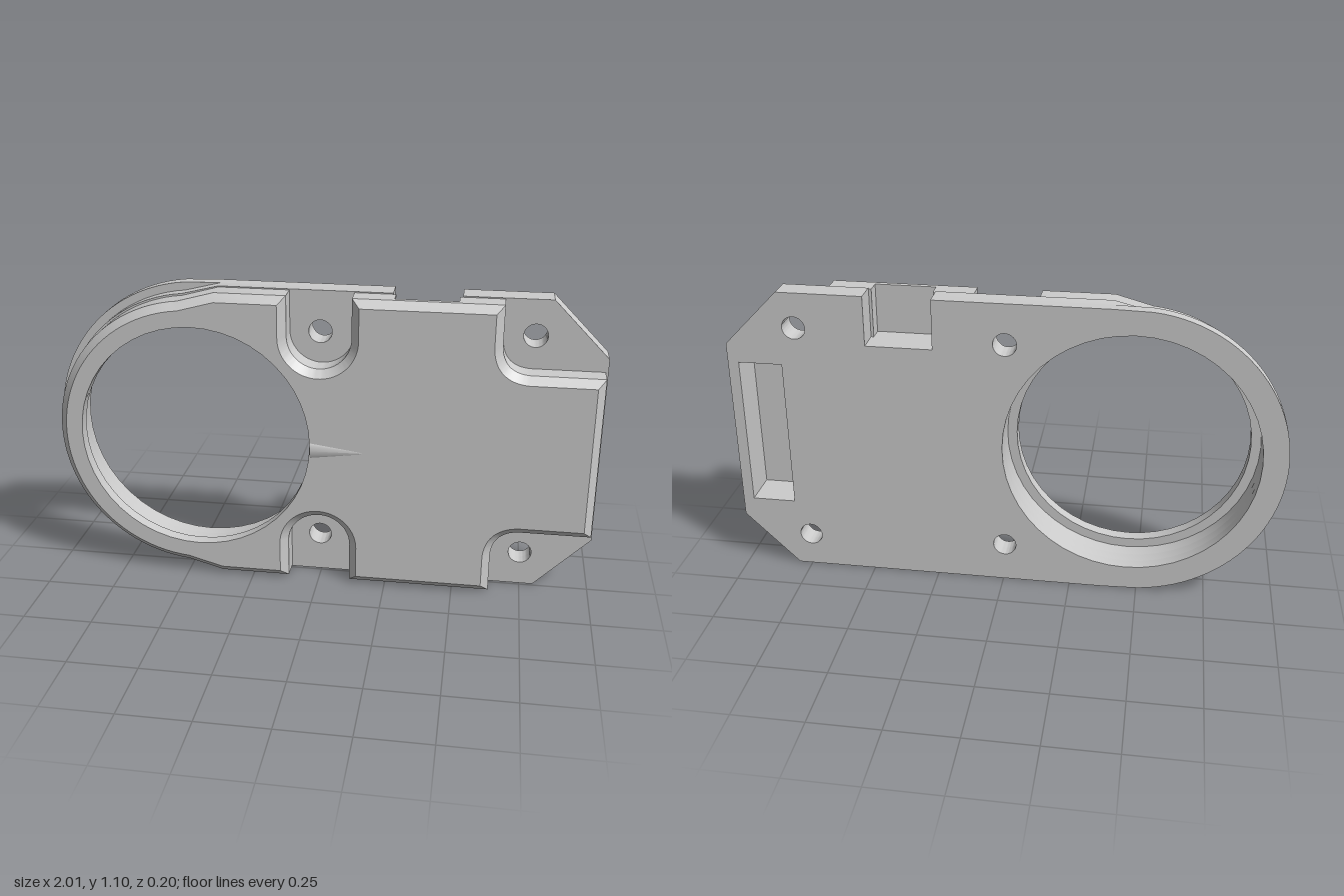
import * as THREE from 'three';
import { toCreasedNormals } from 'three/addons/utils/BufferGeometryUtils.js';

const RING = { x: -0.455, y: 0.552 };   // centre of the big opening
const TOP = 1.103;

const circle = (x, y, r) => new THREE.Path().absarc(x, y, r, 0, Math.PI * 2, true);

function slotHole() {
  return new THREE.Path([[0.8, 0.27], [0.8, 0.83], [0.96, 0.83], [0.96, 0.27]]
    .map(p => new THREE.Vector2(...p)));
}

// Rectangular cut in the top edge
function cutNotch(s, top, halfWidth) {
  const l = 0.37 - halfWidth, r = 0.37 + halfWidth;
  s.lineTo(r, top); s.lineTo(r, 0.92);
  s.lineTo(l, 0.92); s.lineTo(l, top);
}

// Full plate: rounded left end, chamfered right corners
function plateOutline(r) {
  const s = new THREE.Shape();
  s.moveTo(-0.37, 0);
  s.lineTo(0.8, 0); s.lineTo(1, 0.2); s.lineTo(1, 0.9); s.lineTo(0.8, TOP);
  cutNotch(s, TOP, 0.12);
  s.lineTo(-0.37, TOP);
  s.absarc(RING.x, RING.y, r, Math.PI * 0.53, Math.PI * 1.47, false);
  s.holes.push(circle(RING.x, RING.y, 0.46), slotHole());
  for (const x of [-0.005, 0.745])
    for (const y of x < 0 ? [0.15, 0.953] : [0.13, 0.973]) s.holes.push(circle(x, y, 0.042));
  return s;
}

// Raised front: pockets left free around the four screw holes
function raisedOutline(notch, holeRadius) {
  const s = new THREE.Shape(), w = 0.115, e = 0.004, t = TOP - e;
  s.moveTo(-0.37, e);
  s.lineTo(-w, e);
  s.absarc(0, 0.15, w, Math.PI, 0, true);
  s.lineTo(w, e); s.lineTo(0.635, e); s.lineTo(0.635, 0.15);
  s.quadraticCurveTo(0.64, 0.245, 0.735, 0.25);
  s.lineTo(0.99, 0.25); s.lineTo(0.99, TOP - 0.25); s.lineTo(0.735, TOP - 0.25);
  s.quadraticCurveTo(0.64, TOP - 0.245, 0.635, TOP - 0.15);
  s.lineTo(0.635, t);
  if (notch) cutNotch(s, t, 0.11);
  s.lineTo(w, t);
  s.absarc(0, TOP - 0.15, w, 0, Math.PI, true);
  s.lineTo(-w, t); s.lineTo(-0.37, t);
  s.absarc(RING.x, RING.y, 0.513, Math.PI * 0.53, Math.PI * 1.47, false);
  s.holes.push(circle(RING.x, RING.y, holeRadius));
  return s;
}

function layer(shape, z0, z1) {
  const g = new THREE.ExtrudeGeometry(shape, { depth: z1 - z0, bevelEnabled: false, curveSegments: 24 });
  g.translate(0, 0, z0);
  return toCreasedNormals(g, 0.5);
}

// Cap with a chamfer on its front outer edge only
function cap(shape, z0, z1, bevel, holeRadius) {
  const g = new THREE.ExtrudeGeometry(shape, {
    depth: z1 - z0 - bevel, bevelThickness: bevel, bevelSize: bevel,
    bevelOffset: -bevel, bevelSegments: 1, curveSegments: 24,
  });
  const p = g.attributes.position;
  for (let i = 0; i < p.count; i++) {
    const dx = p.getX(i) - RING.x, dy = p.getY(i) - RING.y, d = Math.hypot(dx, dy);
    // keep the opening straight and the back face flat
    if (d < holeRadius + bevel + 0.003)
      p.setXY(i, RING.x + dx / d * holeRadius, RING.y + dy / d * holeRadius);
    p.setZ(i, Math.max(p.getZ(i), 0));
  }
  g.translate(0, 0, z0);
  return toCreasedNormals(g, 0.5);
}

export function createModel() {
  const group = new THREE.Group();
  const grey = new THREE.MeshStandardMaterial({ color: 0xcccccc });
  grey.name = 'light grey';
  const add = (name, geometry) => {
    const m = new THREE.Mesh(geometry, grey);
    m.name = name;
    group.add(m);
  };

  add('backPlate', layer(plateOutline(0.55), -0.1, -0.055));
  add('middlePlate', layer(plateOutline(0.52), -0.055, -0.01));
  const walls = raisedOutline(true, 0.46);
  walls.holes.push(slotHole());
  add('raisedWalls', layer(walls, -0.01, 0.045));
  add('frontCover', cap(raisedOutline(false, 0.425), 0.045, 0.092, 0.028, 0.425));

  // Shallow ridge fading away from the opening
  const ridge = new THREE.ConeGeometry(0.03, 0.22, 8);
  ridge.rotateZ(-Math.PI / 2).scale(1, 1, 0.25).translate(0.082, 0.535, 0.091);
  add('frontRidge', toCreasedNormals(ridge, 0.5));

  return group;
}
